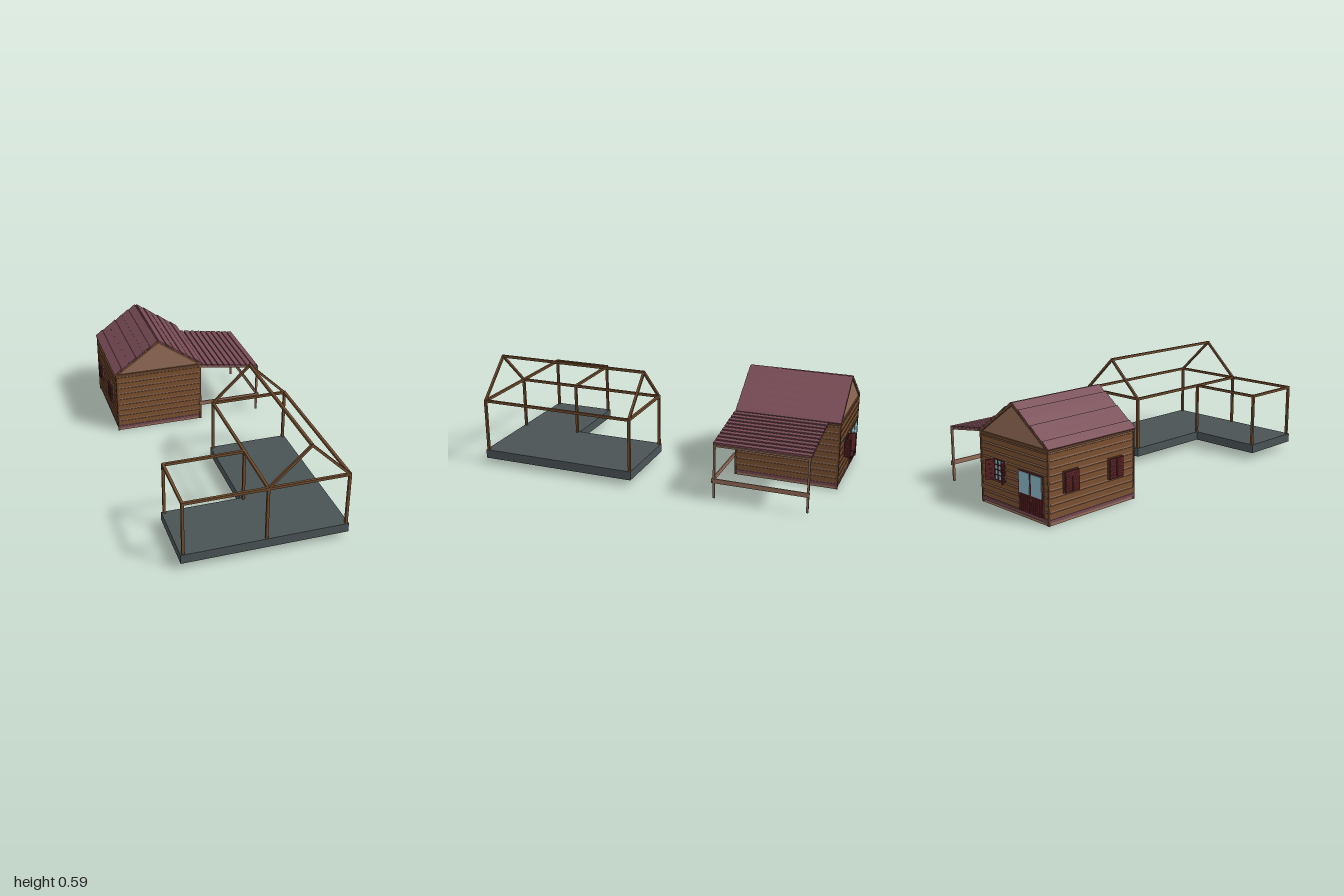
import * as THREE from 'three';

const mat = (color) => new THREE.MeshStandardMaterial({ color });
const M = {
  timber: mat(0x6e4a2c), board: mat(0x7a5030), wall: mat(0x936c58), rail: mat(0x936c58),
  roof: mat(0x774a54), slab: mat(0x4a5355), shutter: mat(0x5a2226), glass: mat(0x86b8c6), trim: mat(0x66432a),
};

// box given by its min/max extents
function box(parent, name, m, x0, x1, y0, y1, z0, z1) {
  const mesh = new THREE.Mesh(new THREE.BoxGeometry(x1 - x0, y1 - y0, z1 - z0), m);
  mesh.position.set((x0 + x1) / 2, (y0 + y1) / 2, (z0 + z1) / 2);
  mesh.name = name;
  parent.add(mesh);
  return mesh;
}

// square-section beam between two points
function beam(parent, name, m, a, b, w = 0.014, h = w) {
  const A = new THREE.Vector3(...a), B = new THREE.Vector3(...b);
  const mesh = new THREE.Mesh(new THREE.BoxGeometry(w, h, A.distanceTo(B) + w * 0.6), m);
  mesh.position.copy(A).add(B).multiplyScalar(0.5);
  mesh.lookAt(B);
  mesh.name = name;
  parent.add(mesh);
  return mesh;
}

function group(parent, name) {
  const g = new THREE.Group();
  g.name = name;
  parent.add(g);
  return g;
}

function makeFrame(root) {
  const g = group(root, 'openFrame');
  // L-shaped slab
  const pts = [[-0.435, 1], [0.445, 1], [0.445, 0.1], [-0.005, 0.1], [-0.005, 0.63], [-0.435, 0.63]];
  const shape = new THREE.Shape(pts.map(([x, z]) => new THREE.Vector2(x, -z)));
  const geo = new THREE.ExtrudeGeometry(shape, { depth: 0.05, bevelEnabled: false });
  geo.rotateX(-Math.PI / 2);
  const slab = new THREE.Mesh(geo, M.slab);
  slab.position.y = 0.035;
  slab.name = 'slab';
  g.add(slab);

  const L = -0.421, C = 0.007, R = 0.432, F = 0.99, W = 0.64, B = 0.11, Y = 0.377;
  // posts
  for (const [x, z] of [[L, F], [L, W], [C, F], [C, W], [C, B], [R, F], [R, B]])
    box(g, 'framePost', M.timber, x - 0.007, x + 0.007, 0.085, Y, z - 0.007, z + 0.007);
  // top plates
  for (const [x0, z0, x1, z1] of [[L, F, R, F], [L, W, C, W], [L, W, L, F], [C, B, C, F], [R, B, R, F], [C, B, R, B]])
    beam(g, 'topBeam', M.timber, [x0, Y, z0], [x1, Y, z1]);
  // gables and ridge
  const ridge = [0.2195, 0.581];
  for (const z of [F, B])
    for (const x of [C, R]) beam(g, 'frameRafter', M.timber, [x, Y, z], [...ridge, z], 0.013);
  beam(g, 'ridgeBeam', M.timber, [...ridge, B], [...ridge, F]);
}

const X0 = -0.44, X1 = 0.085, Z0 = -0.955, Z1 = -0.375, XC = (X0 + X1) / 2, ZC = (Z0 + Z1) / 2;
const EAVE = 0.375, APEX = 0.558;

function makeHouse(root) {
  const g = group(root, 'house');
  // wall body with gables
  const i = 0.006;
  const shape = new THREE.Shape([[X0 + i, 0], [X1 - i, 0], [X1 - i, EAVE], [XC, APEX - 0.004], [X0 + i, EAVE]]
    .map((p) => new THREE.Vector2(...p)));
  const body = new THREE.Mesh(
    new THREE.ExtrudeGeometry(shape, { depth: Z1 - Z0 - 2 * i, bevelEnabled: false }), M.wall);
  body.position.z = Z0 + i;
  body.name = 'walls';
  g.add(body);

  // horizontal siding on all four sides
  for (let k = 0; k < 9; k++) {
    const y0 = 0.0365 + k * 0.0365, y1 = y0 + 0.027;
    for (const z of [Z0 + 0.005, Z1 - 0.005])
      box(g, 'sidingBoard', M.board, X0 + 0.01, X1 - 0.01, y0, y1, z - 0.003, z + 0.003);
    for (const x of [X0 + 0.005, X1 - 0.005])
      box(g, 'sidingBoard', M.board, x - 0.003, x + 0.003, y0, y1, Z0 + 0.01, Z1 - 0.01);
  }
  // plinth band
  box(g, 'plinthBand', M.roof, X0 + 0.002, X1 - 0.002, 0.015, 0.031, Z0 + 0.002, Z1 - 0.002);
  // corner posts
  for (const x of [X0, X1 - 0.01])
    for (const z of [Z0, Z1 - 0.01]) box(g, 'cornerPost', M.trim, x, x + 0.01, 0.002, EAVE, z, z + 0.01);
  // gable trim
  for (const z of [Z0 + 0.005, Z1 - 0.005]) {
    box(g, 'gableTie', M.trim, X0, X1, 0.363, 0.378, z - 0.006, z + 0.006);
    for (const x of [X0 + 0.004, X1 - 0.004])
      beam(g, 'gableTrim', M.trim, [x, EAVE, z], [XC, APEX - 0.003, z], 0.011);
  }
  // eave beams
  for (const x of [X0 + 0.005, X1 - 0.005]) beam(g, 'eaveBeam', M.trim, [x, 0.37, Z0 + 0.005], [x, 0.37, Z1 - 0.005], 0.012);
}

function makeRoof(root) {
  let seed = 7;
  const rnd = () => ((seed = (seed * 16807) % 2147483647) / 2147483647) - 0.5;
  const half = XC - X0, rise = APEX - EAVE, len = Math.hypot(half, rise), n = 6, step = len / n;
  for (let s = 0; s < 2; s++) {
    const side = group(root, 'roofSide');
    side.position.set(XC, APEX, ZC);
    side.rotation.y = s * Math.PI;
    const slope = group(side, 'roofSlope');
    slope.rotation.z = -Math.atan2(rise, half);
    box(slope, 'roofDeck', M.trim, 0, len, -0.003, 0.002, -0.287, 0.287);
    // overlapping, slightly uneven planks
    for (let k = 0; k < n; k++) {
      const p = box(slope, 'roofPlank', M.roof, k * step, (k + 1) * step + 0.002, 0.001, 0.007, -0.29, 0.29);
      p.rotation.set(0, rnd() * 0.012, -0.06 + rnd() * 0.04);
      p.position.y += 0.001 + (k % 2) * 0.002;
    }
  }
}

// two-leaf shutter lying in its local xy plane
function shutterLeaf(parent, w, h) {
  const leaf = group(parent, 'shutterLeaf');
  box(leaf, 'shutterPanel', M.shutter, 0, w, -h / 2, h / 2, -0.003, 0.003);
  for (let k = 0; k < 9; k++) {
    const y = -h / 2 + (k + 0.5) * h / 9;
    box(leaf, 'shutterSlat', M.shutter, 0.004, w - 0.004, y - 0.003, y + 0.003, -0.005, 0.005);
  }
  return leaf;
}

function makeOpenings(root) {
  const g = group(root, 'openings');
  // closed shutters on the right wall
  for (const z of [-0.815, -0.518]) {
    box(g, 'shutterFrame', M.trim, -0.446, -0.436, 0.147, 0.257, z - 0.048, z + 0.048);
    for (const d of [-0.046, 0.001]) {
      const leaf = shutterLeaf(g, 0.045, 0.106);
      leaf.rotation.y = -Math.PI / 2;
      leaf.position.set(-0.452, 0.202, z + d);
    }
  }
  // back window
  const wx = -0.075, w = 0.04, y0 = 0.148, y1 = 0.255;
  box(g, 'windowGlass', M.glass, wx - w, wx + w, y0, y1, Z0 - 0.002, Z0 + 0.004);
  for (let k = 0; k <= 3; k++) {
    const x = wx - w + k * 2 * w / 3;
    box(g, 'windowBar', M.shutter, x - 0.002, x + 0.002, y0, y1, Z0 - 0.006, Z0);
  }
  for (let k = 0; k <= 4; k++) {
    const y = y0 + k * (y1 - y0) / 4;
    box(g, 'windowBar', M.shutter, wx - w, wx + w, y - 0.002, y + 0.002, Z0 - 0.006, Z0);
  }
  // swung-open shutters
  for (const s of [1, -1]) {
    const leaf = shutterLeaf(g, 0.046, 0.106);
    leaf.position.set(wx + s * w, 0.202, Z0 - 0.005);
    leaf.rotation.y = s > 0 ? 0.95 : Math.PI - 0.95;
  }
  // double back door with glazed tops
  box(g, 'doorFrame', M.trim, -0.405, -0.215, 0.032, 0.245, Z0 - 0.001, Z0 + 0.004);
  for (const x of [-0.4, -0.309]) {
    const x1 = x + 0.089;
    box(g, 'doorPanel', M.shutter, x, x1, 0.034, 0.242, Z0 - 0.003, Z0);
    box(g, 'doorGlass', M.glass, x + 0.006, x1 - 0.006, 0.128, 0.236, Z0 - 0.005, Z0);
    for (let k = 0; k < 5; k++)
      box(g, 'doorBatten', M.shutter, x + 0.006 + k * 0.016, x + 0.018 + k * 0.016, 0.04, 0.12, Z0 - 0.006, Z0);
  }
}

function makeCanopy(root) {
  const g = group(root, 'canopy');
  const n = 10, pitch = 0.0365;
  // stepped slats
  for (let k = 0; k < n; k++) {
    const x = 0.085 + k * pitch, y = 0.362 - k * 0.0056;
    const slat = box(g, 'canopySlat', M.roof, x, x + 0.029, y, y + 0.012, -0.885, -0.368);
    slat.rotation.z = -0.07;
  }
  // sloping rafters
  for (const z of [-0.376, -0.876]) beam(g, 'canopyRafter', M.rail, [0.08, 0.362, z], [0.445, 0.307, z], 0.011);
  beam(g, 'canopyEdge', M.rail, [0.443, 0.306, -0.88], [0.443, 0.306, -0.372], 0.01);
  // posts and rails
  for (const z of [-0.376, -0.876]) box(g, 'canopyPost', M.rail, 0.438, 0.449, 0.012, 0.313, z - 0.0055, z + 0.0055);
  box(g, 'frontRail', M.rail, 0.07, 0.456, 0.1, 0.125, -0.371, -0.365);
  box(g, 'sideRail', M.rail, 0.449, 0.455, 0.1, 0.125, -0.885, -0.367);
}

export function createModel() {
  const root = new THREE.Group();
  root.name = 'cabinAndFrame';
  makeFrame(root);
  makeHouse(root);
  makeRoof(root);
  makeOpenings(root);
  makeCanopy(root);
  return root;
}
